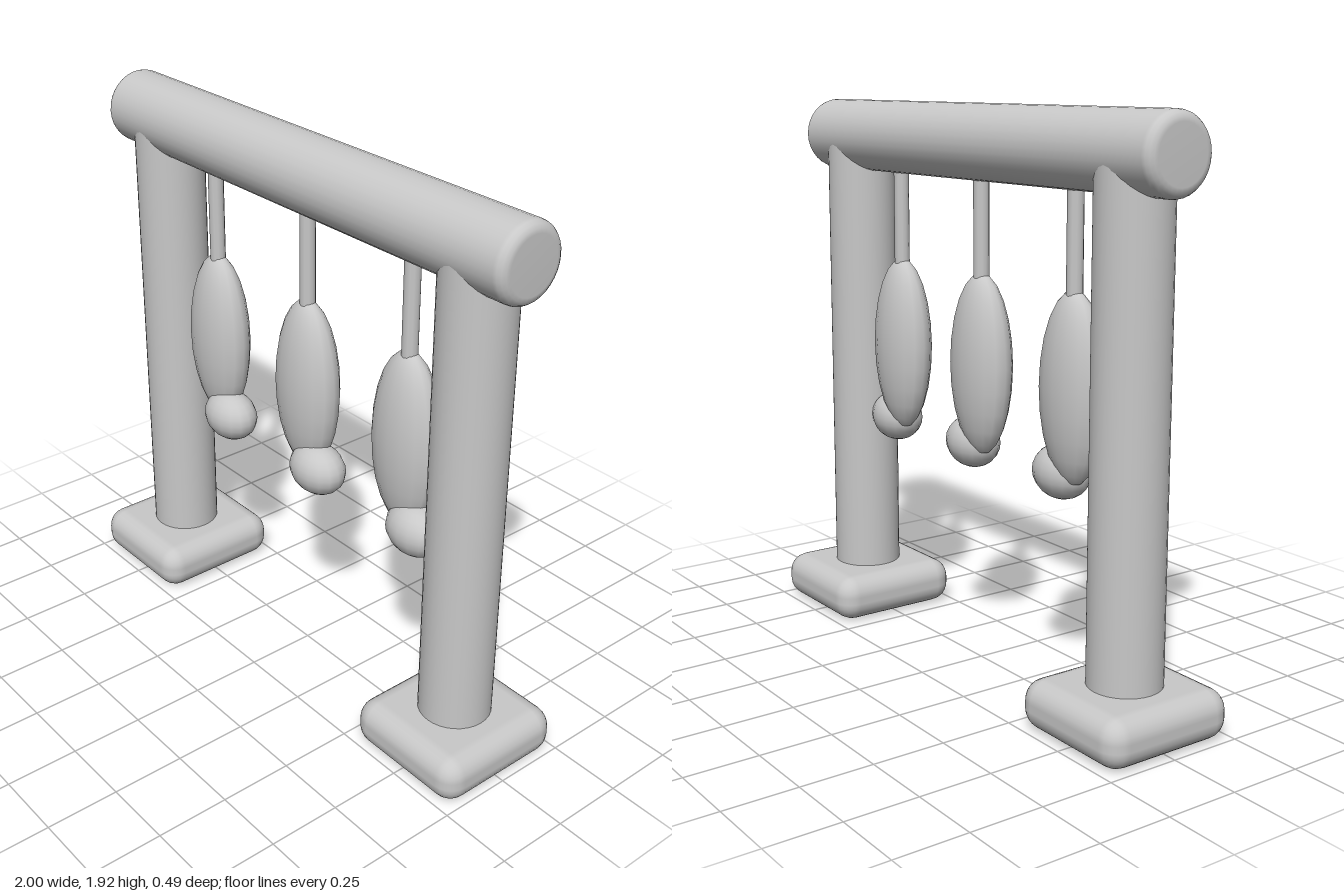
import * as THREE from 'three';
import { RoundedBoxGeometry } from 'three/addons/geometries/RoundedBoxGeometry.js';

export function createModel() {
  const group = new THREE.Group();
  const grey = new THREE.MeshStandardMaterial({ color: 0xc8c8c8 });
  grey.name = 'light grey';

  const add = (name, geometry, x, y, z = 0, parent = group) => {
    const mesh = new THREE.Mesh(geometry, grey);
    mesh.name = name;
    mesh.position.set(x, y, z);
    parent.add(mesh);
    return mesh;
  };

  // crossbeam: round log with softened rims
  const R = 0.127, H = 0.965, B = 0.035;
  const profile = [new THREE.Vector2(0, -H)];
  const rim = (sign, i) => {
    const a = (i / 4) * Math.PI / 2;
    profile.push(new THREE.Vector2(R - B + B * Math.sin(a), sign * (H - B + B * Math.cos(a))));
  };
  for (let i = 0; i <= 4; i++) rim(-1, i);
  for (let i = 4; i >= 0; i--) rim(1, i);
  profile.push(new THREE.Vector2(0, H));
  add('crossbeam', new THREE.LatheGeometry(profile, 32), 0, 1.793).rotation.z = -Math.PI / 2;

  // posts on rounded feet
  for (const side of [-1, 1]) {
    const label = side > 0 ? 'left' : 'right';
    add(label + 'Post', new THREE.CylinderGeometry(0.122, 0.122, 1.7, 32), side * 0.765, 0.94);
    add(label + 'Foot', new RoundedBoxGeometry(0.468, 0.165, 0.487, 3, 0.07), side * 0.765, 0.0825);
  }

  // three hanging pieces: cord, long body and small offset end
  for (const x of [-0.495, 0, 0.492]) {
    const hanging = new THREE.Group();
    hanging.name = 'hangingPiece';
    hanging.position.x = x;
    group.add(hanging);
    add('cord', new THREE.CylinderGeometry(0.027, 0.027, 0.4, 12), 0, 1.52, 0, hanging);
    add('body', new THREE.SphereGeometry(1, 16, 12), 0, 1.05, 0, hanging).scale.set(0.14, 0.312, 0.085);
    add('end', new THREE.SphereGeometry(1, 16, 12), 0.078, 0.765, 0.02, hanging).scale.set(0.113, 0.09, 0.085);
  }
  return group;
}
